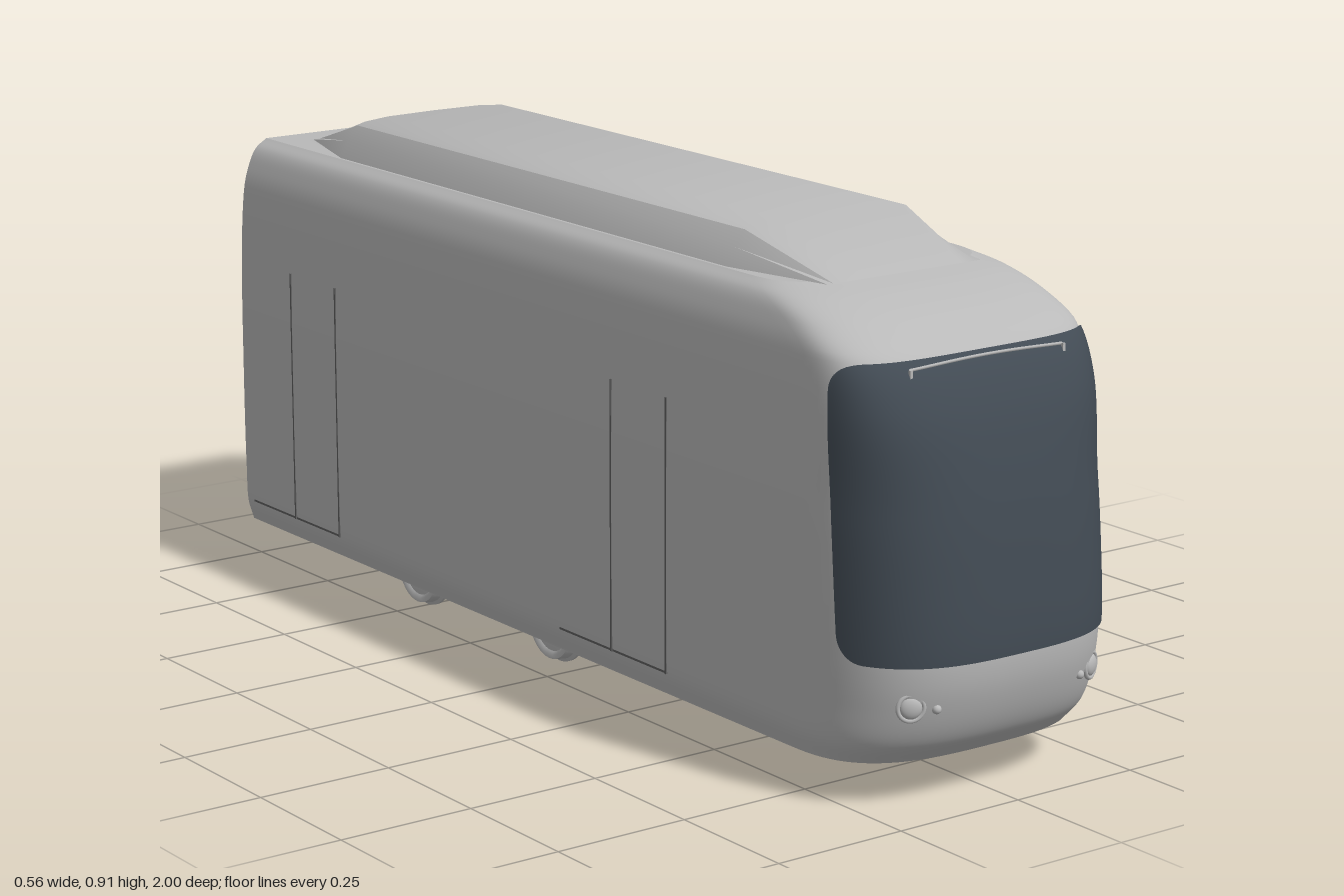
import * as THREE from 'three';
import { toCreasedNormals } from 'three/addons/utils/BufferGeometryUtils.js';

const paint = (name, color) => Object.assign(new THREE.MeshStandardMaterial({ color }), { name });

// Body profile: half width, height, foremost z
const profile = new THREE.CatmullRomCurve3([
  [0.265, 0.073, 0.92], [0.277, 0.115, 0.96], [0.279, 0.18, 0.988], [0.28, 0.25, 1],
  [0.28, 0.4, 0.99], [0.279, 0.55, 0.967], [0.275, 0.67, 0.933], [0.268, 0.745, 0.888],
  [0.256, 0.788, 0.82], [0.24, 0.818, 0.74], [0.216, 0.835, 0.67],
].map(p => new THREE.Vector3(...p)), false, 'centripetal').getPoints(240);

// Plan outline at one height: straight sides running into a squarish nose
function level(y) {
  let i = 1;
  while (i < profile.length - 1 && profile[i].y < y) i++;
  const a = profile[i - 1], b = profile[i];
  const p = a.clone().lerp(b, THREE.MathUtils.clamp((y - a.y) / (b.y - a.y), 0, 1));
  const start = Math.min(0.72, p.z - 0.16);
  const n = 3 + THREE.MathUtils.smoothstep(y, 0.5, 0.75);
  return { w: p.x, start, depth: p.z - start, n };
}
function nosePoint(y, angle, L = level(y)) {
  const s = Math.sin(angle), c = Math.max(0, Math.cos(angle));
  return [L.w * Math.sign(s) * Math.abs(s) ** (2 / L.n), y, L.start + L.depth * c ** (2 / L.n)];
}
function noseZ(x, y) {
  const L = level(y);
  return L.start + L.depth * (1 - (Math.abs(x) / L.w) ** L.n) ** (1 / L.n);
}

// Surface from a grid of points; outside is u cross v
function grid(nu, nv, point) {
  const pos = [], index = [];
  for (let j = 0; j <= nv; j++) for (let i = 0; i <= nu; i++) pos.push(...point(i, j));
  for (let j = 0; j < nv; j++) for (let i = 0; i < nu; i++) {
    const a = j * (nu + 1) + i, d = a + nu + 1;
    index.push(a, a + 1, d + 1, a, d + 1, d);
  }
  const g = new THREE.BufferGeometry();
  g.setAttribute('position', new THREE.Float32BufferAttribute(pos, 3));
  g.setIndex(index);
  g.computeVertexNormals();
  return g;
}

export function createModel() {
  const model = new THREE.Group();
  const grey = paint('bodyGrey', 0xb9b9b9);
  const glass = paint('darkGlass', 0x424b54);
  const dark = paint('seamGrey', 0x626262);
  const add = (name, geometry, material, x = 0, y = 0, z = 0) => {
    const m = new THREE.Mesh(geometry, material);
    m.name = name;
    m.position.set(x, y, z);
    model.add(m);
    return m;
  };

  // Body shell
  const arc = 56, rows = 80;
  const ringPoint = (i, y) => {
    const L = level(y);
    if (i === 0) return [-L.w, y, -1];
    if (i === arc + 2) return [L.w, y, -1];
    return nosePoint(y, ((i - 1) / arc - 0.5) * Math.PI, L);
  };
  add('bodyShell', grid(arc + 2, rows, (i, j) => ringPoint(i, profile[j * 3].y)), grey);

  // Roof, floor and rear wall
  const flat = pts => new THREE.ShapeGeometry(new THREE.Shape(pts.map(p => new THREE.Vector2(...p))));
  const ring = y => Array.from({ length: arc + 3 }, (_, i) => ringPoint(i, y));
  add('roof', flat(ring(0.835).map(p => [p[0], -p[2]])).rotateX(-Math.PI / 2), grey, 0, 0.835);
  add('floor', flat(ring(0.073).map(p => [p[0], p[2]])).rotateX(Math.PI / 2), grey, 0, 0.073);
  const edge = profile.filter((_, i) => i % 3 === 0);
  add('rearWall', flat([...edge.map(p => [p.x, p.y]), ...edge.map(p => [-p.x, p.y]).reverse()])
    .rotateY(Math.PI), grey, 0, 0, -1);

  // Wraparound windscreen with rounded corners
  const y0 = 0.255, y1 = 0.745, r = 0.045;
  add('windscreen', grid(48, 48, (i, j) => {
    const v = (1 - Math.cos(Math.PI * j / 48)) / 2;
    const y = y0 + (y1 - y0) * v;
    const e = Math.max(0, r - Math.min(y - y0, y1 - y));
    const cut = 0.855 - 0.037 * v + r - Math.sqrt(Math.max(0, r * r - e * e));
    const L = level(y);
    const limit = Math.acos(((cut - L.start) / L.depth) ** (L.n / 2));
    const p = nosePoint(y, limit * (i / 24 - 1), L);
    return [p[0] * 1.012, p[1], p[2] + 0.004];
  }), glass);

  // Light trim line at the top of the windscreen
  const trim = [];
  for (let i = 0; i <= 16; i++) {
    const x = 0.163 * (i / 8 - 1), y = 0.737 - 0.2 * x * x;
    trim.push(new THREE.Vector3(x, y, noseZ(x, y) + 0.005));
  }
  add('windscreenTrim', new THREE.TubeGeometry(new THREE.CatmullRomCurve3(trim), 32, 0.0028, 6), grey);
  for (const s of [-1, 1])
    add('trimEnd', new THREE.BoxGeometry(0.005, 0.018, 0.006), grey, s * 0.163, 0.724, noseZ(0.163, 0.724) + 0.004);

  // Roof pod lofted from cross-sections, with sloping ends
  const sections = [[-0.93, 0.165, 0], [-0.73, 0.213, 0.07], [0.48, 0.213, 0.07], [0.69, 0.165, 0]];
  const outline = [[1, 0], [0.92, 0.45], [0.82, 0.84], [0.74, 0.92], [0.5, 0.985], [0, 1]];
  const across = [...outline, ...outline.slice(0, -1).reverse().map(([x, y]) => [-x, y])].reverse();
  const pod = grid(across.length - 1, 3, (i, j) => {
    const [z, w, h] = sections[3 - j];
    return [across[i][0] * w, 0.836 + across[i][1] * h, z];
  });
  add('roofPod', toCreasedNormals(pod, 0.45), grey);

  // Wheels with inner flange, axles
  const wheelProfile = [[0, 0.2], [0.02, 0.2], [0.05, 0.196], [0.056, 0.2], [0.064, 0.2], [0.067, 0.18],
    [0.073, 0.177], [0.073, 0.171], [0.068, 0.168], [0, 0.168]];
  const wheel = new THREE.LatheGeometry(wheelProfile.map(p => new THREE.Vector2(...p)).reverse(), 40);
  const wheelGeometry = toCreasedNormals(wheel, 0.6);
  for (const z of [-0.065, -0.505]) {
    for (const s of [-1, 1])
      add('wheel', wheelGeometry, grey, 0, 0.073, z).rotation.z = -s * Math.PI / 2;
    add('axle', new THREE.CylinderGeometry(0.006, 0.006, 0.34, 12).rotateZ(Math.PI / 2), grey, 0, 0.071, z);
  }

  for (const s of [-1, 1]) {
    // Headlamps: ring, lens and small side lamp
    const lamp = new THREE.Group();
    lamp.name = 'headlamp';
    lamp.position.set(s * 0.195, 0.185, noseZ(0.195, 0.185));
    lamp.rotation.y = s * 0.45;
    const rim = new THREE.Mesh(new THREE.TorusGeometry(0.022, 0.004, 8, 32), grey);
    rim.name = 'lampRim';
    const lens = new THREE.Mesh(new THREE.SphereGeometry(0.019, 24, 12).scale(1, 1, 0.45), grey);
    lens.name = 'lampLens';
    lamp.add(rim, lens);
    model.add(lamp);
    add('sideLamp', new THREE.SphereGeometry(0.008, 16, 10), grey, s * 0.155, 0.18, noseZ(0.155, 0.18));

    // Door seams
    for (const front of [0.4, -0.655]) {
      for (const z of [front, front - 0.16])
        add('doorSeam', new THREE.BoxGeometry(0.005, 0.49, 0.004), dark, s * 0.278, 0.36, z);
      add('doorSill', new THREE.BoxGeometry(0.005, 0.004, 0.32), dark, s * 0.2755, 0.117, front - 0.16);
    }
  }
  return model;
}
